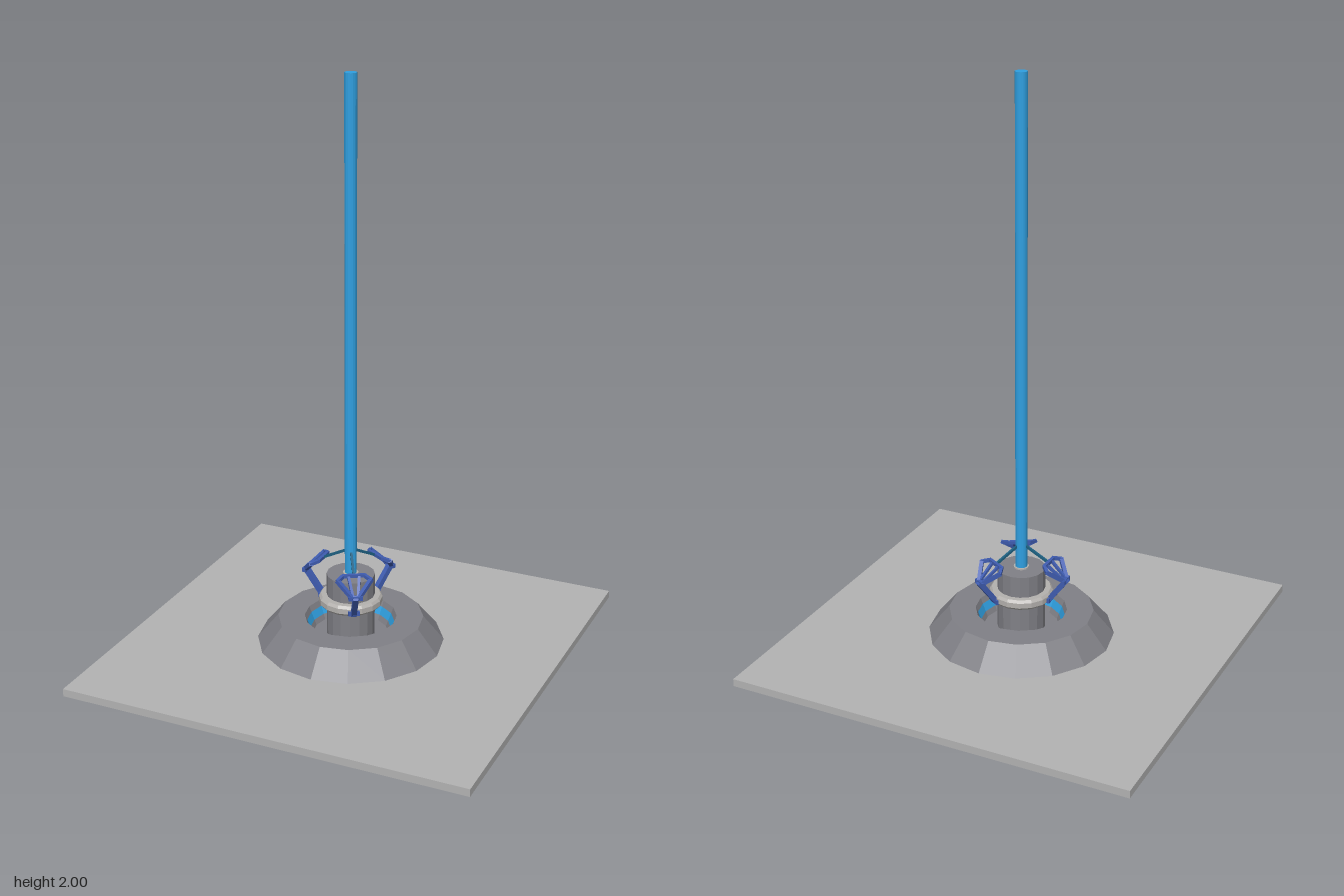
import * as THREE from 'three';

const mat = (name, color, extra = {}) => Object.assign(new THREE.MeshStandardMaterial({ color, flatShading: true, ...extra }), { name });

export function createModel() {
  const model = new THREE.Group();
  model.name = 'clawedPoleStand';
  const plateGrey = mat('plate grey', 0xb2b2b2);
  const baseGrey = mat('base grey', 0x808086);
  const collarGrey = mat('collar light grey', 0xb4b1ae);
  const poleBlue = mat('pole blue', 0x2f9fe0);
  const clawBlue = mat('claw blue', 0x3f5cb0);
  const strutTeal = mat('strut dark teal', 0x1d5f80);

  const add = (parent, name, geometry, material) => {
    const mesh = new THREE.Mesh(geometry, material);
    mesh.name = name;
    parent.add(mesh);
    return mesh;
  };
  const lathe = (name, points, material) =>
    add(model, name, new THREE.LatheGeometry(points.map(([r, y]) => new THREE.Vector2(r, y)), 16), material);
  // Square bar between two points
  const bar = (parent, name, a, b, size, material) => {
    const start = new THREE.Vector3(...a), end = new THREE.Vector3(...b);
    const mesh = add(parent, name, new THREE.BoxGeometry(size, size, start.distanceTo(end) + size * 0.5), material);
    mesh.position.copy(start).lerp(end, 0.5);
    mesh.lookAt(end);
    return mesh;
  };

  // Ground plate and pole
  add(model, 'groundPlate', new THREE.BoxGeometry(1.396, 0.026, 1.396), plateGrey).position.y = 0.067;
  add(model, 'pole', new THREE.CylinderGeometry(0.02, 0.02, 2, 16), poleBlue).position.y = 1;

  // Faceted base with a well in its top and a blue band inside the well
  lathe('baseCone', [[0.315, 0.08], [0.245, 0.165], [0.155, 0.165], [0.147, 0.145]], baseGrey);
  lathe('wellBand', [[0.147, 0.145], [0.136, 0.118]], poleBlue);
  lathe('wellFloor', [[0.136, 0.118], [0.128, 0.1], [0.07, 0.1]], baseGrey);

  // Central column with its collar and pole sleeve
  lathe('column', [[0.081, 0.09], [0.081, 0.322], [0.074, 0.322], [0.02, 0.322]], baseGrey);
  lathe('collar', [[0.081, 0.213], [0.1, 0.213], [0.107, 0.221], [0.107, 0.239], [0.1, 0.248], [0.081, 0.248]], collarGrey);
  lathe('poleSleeve', [[0.026, 0.32], [0.026, 0.327], [0.02, 0.327]], collarGrey);

  // Three claws, each built pointing along +x and turned into place
  for (let i = 0; i < 3; i++) {
    const claw = new THREE.Group();
    claw.name = 'claw' + (i + 1);
    bar(claw, 'strut', [0.01, 0.408, 0], [0.1, 0.362, 0], 0.008, strutTeal);
    bar(claw, 'crossbar', [0.102, 0.362, -0.035], [0.102, 0.362, 0.035], 0.011, clawBlue);
    bar(claw, 'elbowPin', [0.163, 0.31, -0.02], [0.163, 0.31, 0.02], 0.014, clawBlue);
    for (const s of [-1, 1]) {
      bar(claw, 'fingerTip', [0.102, 0.362, s * 0.035], [0.122, 0.354, s * 0.055], 0.011, clawBlue);
      bar(claw, 'upperArm', [0.122, 0.354, s * 0.055], [0.163, 0.31, s * 0.01], 0.013, clawBlue);
      bar(claw, 'innerArm', [0.104, 0.36, s * 0.018], [0.163, 0.31, s * 0.008], 0.009, clawBlue);
    }
    bar(claw, 'lowerArm', [0.167, 0.31, 0], [0.102, 0.222, 0], 0.018, clawBlue);
    bar(claw, 'foot', [0.104, 0.226, -0.015], [0.104, 0.226, 0.015], 0.016, clawBlue);
    claw.rotation.y = Math.PI + (i * Math.PI * 2) / 3;
    model.add(claw);
  }
  return model;
}
